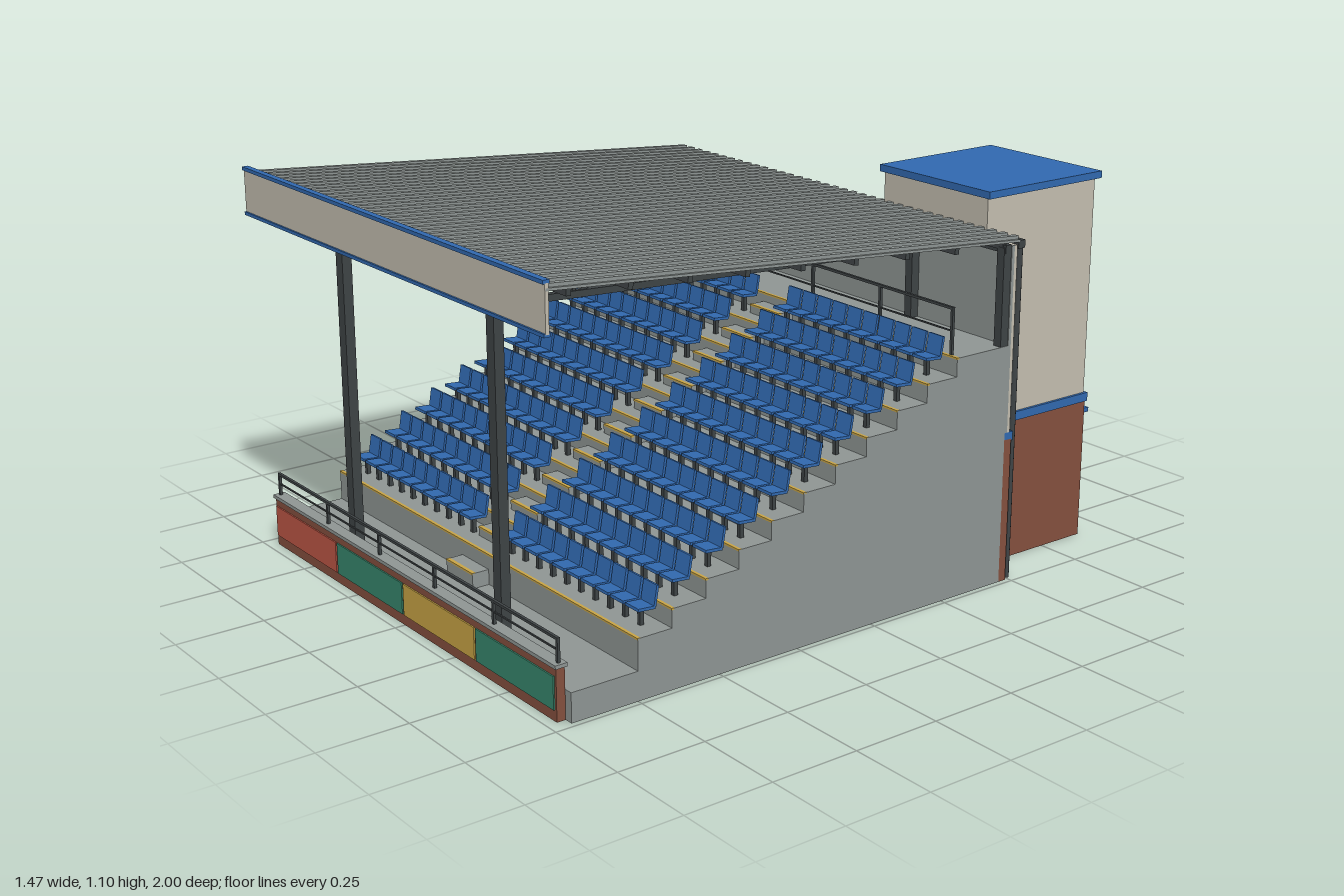
import * as THREE from 'three';
import { mergeGeometries } from 'three/addons/utils/BufferGeometryUtils.js';

const material = (name, color) => {
  const m = new THREE.MeshStandardMaterial({ color });
  m.name = name;
  return m;
};

export function createModel() {
  const concrete = material('concrete', 0x8f9694);
  const cladding = material('beige cladding', 0xc4beb0);
  const blue = material('blue', 0x3169b0);
  const steel = material('dark steel', 0x3f4446);
  const brick = material('brick', 0x85503f);
  const red = material('red panel', 0xbd5645);
  const green = material('green panel', 0x38876d);
  const yellow = material('yellow', 0xc9a545);
  const glass = material('glass', 0x7f898c);

  const model = new THREE.Group();
  model.name = 'grandstand';

  const add = (name, geometry, mat, parent = model) => {
    const mesh = new THREE.Mesh(geometry, mat);
    mesh.name = name;
    parent.add(mesh);
    return mesh;
  };
  // box from its min and max along each axis
  const span = (x0, x1, y0, y1, z0, z1) =>
    new THREE.BoxGeometry(x1 - x0, y1 - y0, z1 - z0)
      .translate((x0 + x1) / 2, (y0 + y1) / 2, (z0 + z1) / 2);
  const box = (name, mat, ...s) => add(name, span(...s), mat);
  const merged = (name, mat, list, parent) => add(name, mergeGeometries(list), mat, parent);
  // straight bar in a plane of constant x, between (z, y) points
  const bar = (x, z0, y0, z1, y1, w) => {
    const dz = z1 - z0, dy = y1 - y0;
    return new THREE.BoxGeometry(w, w, Math.hypot(dz, dy))
      .rotateX(-Math.atan2(dy, dz)).translate(x, (y0 + y1) / 2, (z0 + z1) / 2);
  };

  const W = 0.735, ROWS = 10, GO = 0.103, RISE = 0.051;
  const tierZ = i => 0.75 - i * GO;
  const tierY = i => 0.165 + i * RISE;

  // stepped terrace
  const profile = new THREE.Shape();
  profile.moveTo(-0.465, 0);
  profile.lineTo(0.945, 0);
  profile.lineTo(0.945, 0.08);
  profile.lineTo(0.75, 0.08);
  for (let i = 0; i <= ROWS; i++) {
    profile.lineTo(tierZ(i), tierY(i));
    profile.lineTo(i < ROWS ? tierZ(i + 1) : -0.465, tierY(i));
  }
  add('terrace', new THREE.ExtrudeGeometry(profile, { depth: 2 * W, bevelEnabled: false })
    .rotateY(-Math.PI / 2).translate(W, 0, 0), concrete);

  // aisle half steps and yellow step edges
  const halfSteps = [], edges = [];
  for (let i = 0; i <= ROWS; i++) {
    const z = tierZ(i), y = tierY(i), low = i ? tierY(i - 1) : 0.08;
    const mid = (y + low) / 2;
    halfSteps.push(span(-0.065, 0.065, low, mid, z, z + 0.05));
    edges.push(span(-0.065, 0.065, mid - 0.004, mid + 0.001, z + 0.04, z + 0.051));
    edges.push(span(-W, W, y - 0.004, y + 0.001, z - 0.008, z + 0.001));
  }
  merged('aisleSteps', concrete, halfSteps);
  merged('stepEdges', yellow, edges);

  // seats: two blocks of ten by ten
  const shells = [], legs = [];
  for (let row = 0; row < ROWS; row++) {
    const z = tierZ(row), y = tierY(row);
    for (const side of [-1, 1]) {
      for (let s = 0; s < 10; s++) {
        const x = side * (0.096 + s * 0.0638);
        shells.push(new THREE.BoxGeometry(0.055, 0.008, 0.052)
          .rotateX(-0.08).translate(x, y + 0.05, z - 0.055));
        shells.push(new THREE.BoxGeometry(0.055, 0.055, 0.007)
          .rotateX(-0.17).translate(x, y + 0.077, z - 0.084));
        legs.push(span(x - 0.006, x + 0.006, y, y + 0.047, z - 0.062, z - 0.05));
      }
    }
  }
  merged('seats', blue, shells);
  merged('seatLegs', steel, legs);

  // front wall with coping and coloured panels
  box('frontWall', brick, -0.71, 0.71, 0, 0.14, 0.945, 0.97);
  box('frontWallCoping', concrete, -0.715, 0.715, 0.14, 0.15, 0.94, 0.975);
  [red, green, yellow, green].forEach((mat, i) => {
    const x = -0.704 + i * 0.3535;
    box('wallPanel', mat, x, x + 0.346, 0.03, 0.118, 0.969, 0.974);
  });

  // railings on the front wall and behind the top row
  const railing = (name, z, y0, y1) => {
    const list = [span(-0.705, 0.705, y1 - 0.007, y1, z - 0.004, z + 0.004)];
    const mid = (y0 + y1) / 2;
    list.push(span(-0.705, 0.705, mid - 0.002, mid + 0.002, z - 0.002, z + 0.002));
    for (let i = 0; i < 6; i++) {
      const x = -0.702 + i * 0.2808;
      list.push(span(x - 0.004, x + 0.004, y0, y1, z - 0.004, z + 0.004));
    }
    merged(name, steel, list);
  };
  railing('frontRailing', 0.958, 0.15, 0.215);
  railing('rearRailing', -0.29, tierY(ROWS), 0.805);

  // sloping roof sheet with ribs on top and purlins below
  const SLOPE = 0.0792;
  const roofY = z => 0.957 + (z + 0.49) * SLOPE;
  const roof = new THREE.Group();
  roof.name = 'roof';
  roof.position.set(0, roofY(0.25), 0.25);
  roof.rotation.x = -Math.atan(SLOPE);
  model.add(roof);
  add('roofSheet', span(-W, W, -0.003, 0.004, -0.745, 0.745), concrete, roof);
  const ribs = [], purlins = [];
  for (let i = 0; i < 37; i++) {
    const x = -0.72 + i * 0.04;
    ribs.push(span(x - 0.008, x + 0.008, 0.004, 0.013, -0.745, 0.742));
  }
  for (let i = 0; i < 9; i++) {
    const z = -0.7 + i * 0.172;
    purlins.push(span(-0.725, 0.725, -0.022, -0.003, z - 0.007, z + 0.007));
  }
  merged('roofRibs', concrete, ribs, roof);
  merged('purlins', steel, purlins, roof);

  // fascia with blue trims
  box('fascia', cladding, -W, W, 0.97, 1.09, 0.985, 0.995);
  box('fasciaTopTrim', blue, -W, W, 1.088, 1.098, 0.982, 1);
  box('fasciaBottomTrim', blue, -W, W, 0.964, 0.973, 0.982, 1);

  // columns and trusses
  const columns = [], truss = [], plates = [];
  const top = z => roofY(z) - 0.02;
  const bottom = z => 0.942 - (0.89 - z) * 0.052;
  for (const x of [-0.37, 0.37]) {
    columns.push(span(x - 0.017, x + 0.017, 0.08, 1.05, 0.886, 0.914));
    plates.push(span(x - 0.03, x + 0.03, 0.08, 0.09, 0.87, 0.93));
    truss.push(bar(x, 0.98, top(0.98), -0.46, top(-0.46), 0.018));
    truss.push(bar(x, 0.9, bottom(0.9), -0.46, bottom(-0.46), 0.018));
    for (let i = 0; i < 6; i++) {
      const z0 = 0.9 - i * 0.2275, z1 = z0 - 0.2275;
      truss.push(bar(x, z0, bottom(z0), z1, top(z1), 0.009));
      truss.push(bar(x, z1, bottom(z1), z1, top(z1), 0.009));
    }
  }
  for (const x of [-0.72, -0.37, 0.37, 0.72])
    columns.push(span(x - 0.013, x + 0.013, 0, 0.945, -0.466, -0.438));
  columns.push(span(-W, W, 0.93, 0.952, -0.462, -0.442));
  merged('columns', steel, columns);
  merged('columnBases', concrete, plates);
  merged('trusses', steel, truss);

  // rear wall: brick base, blue band, ribbed cladding
  box('rearBrickWall', brick, -W, W, 0, 0.41, -0.49, -0.465);
  box('rearBand', blue, -W, W, 0.405, 0.43, -0.496, -0.465);
  box('rearInnerWall', concrete, -W, W, 0.43, 0.948, -0.474, -0.464);
  box('rearCladding', cladding, -W, W, 0.43, 0.948, -0.484, -0.474);
  const wallRibs = [];
  for (let i = 0; i < 30; i++) {
    const x = -0.72 + i * 0.0497;
    wallRibs.push(span(x - 0.006, x + 0.006, 0.43, 0.945, -0.492, -0.483));
  }
  merged('claddingRibs', cladding, wallRibs);
  box('gutter', steel, -W, W, 0.936, 0.958, -0.512, -0.488);
  for (const x of [-0.72, 0.72])
    add('downpipe', new THREE.CylinderGeometry(0.009, 0.009, 0.935, 10)
      .translate(x, 0.4675, -0.507), steel);

  // rear windows, door and canopy
  for (const x of [-0.325, -0.555]) {
    box('windowFrame', steel, x - 0.08, x + 0.08, 0.17, 0.32, -0.493, -0.489);
    box('windowPane', glass, x - 0.074, x + 0.074, 0.176, 0.314, -0.496, -0.492);
    box('windowSill', concrete, x - 0.085, x + 0.085, 0.158, 0.17, -0.522, -0.488);
  }
  for (let i = 0; i < 5; i++) {
    const x = -0.61 + i * 0.074;
    box('highWindow', glass, x, x + 0.069, 0.67, 0.755, -0.497, -0.49);
  }
  box('rearDoor', steel, -0.1, 0.1, 0, 0.3, -0.498, -0.489);
  box('rearCanopy', blue, -0.153, 0.15, 0.33, 0.345, -0.64, -0.488);
  box('doorPlate', cladding, -0.08, 0.08, 0.362, 0.4, -0.496, -0.489);

  // tower
  box('towerBase', brick, 0.207, 0.62, 0, 0.41, -0.897, -0.47);
  box('towerBand', blue, 0.202, 0.625, 0.405, 0.43, -0.902, -0.47);
  box('towerBody', cladding, 0.21, 0.617, 0.43, 1.05, -0.894, -0.487);
  box('towerRoof', blue, 0.197, 0.63, 1.05, 1.07, -0.907, -0.48);
  box('towerDoor', steel, 0.33, 0.5, 0, 0.295, -0.904, -0.896);
  box('towerCanopy', blue, 0.287, 0.542, 0.331, 0.344, -1, -0.895);
  box('towerWindowFrame', steel, 0.387, 0.443, 0.545, 0.75, -0.898, -0.893);
  box('towerWindow', glass, 0.393, 0.437, 0.551, 0.744, -0.902, -0.897);

  return model;
}
